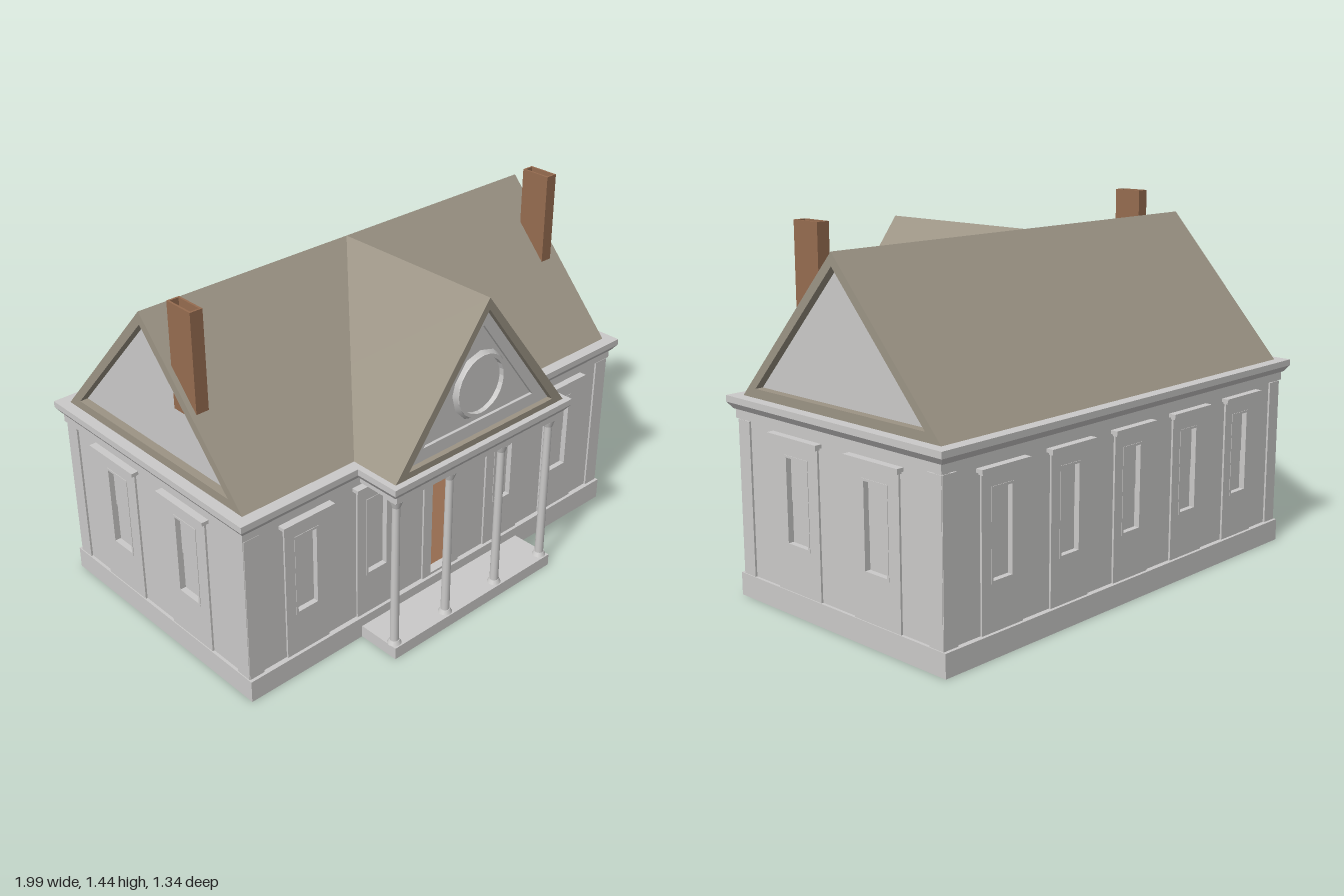
import * as THREE from 'three';

const mat = (name, color) => Object.assign(new THREE.MeshStandardMaterial({ color }), { name });

export function createModel() {
  const stone = mat('pale stone', 0xcbcac9);
  const roofing = mat('roof taupe', 0x9c9485);
  const brown = mat('brick brown', 0x966c50);

  const house = new THREE.Group();
  house.name = 'house';
  house.position.x = -0.006;
  const ZC = -0.093; // depth centre of the main block

  function add(parent, name, geo, material, x = 0, y = 0, z = 0) {
    const m = new THREE.Mesh(geo, material);
    m.name = name;
    m.position.set(x, y, z);
    parent.add(m);
    return m;
  }
  // Box given by its size, centred in x and z, standing on y
  function box(parent, name, material, w, h, d, x, y, z) {
    return add(parent, name, new THREE.BoxGeometry(w, h, d), material, x, y + h / 2, z);
  }
  function rectPath(Type, x0, x1, y0, y1) {
    const p = new Type();
    p.moveTo(x0, y0); p.lineTo(x1, y0); p.lineTo(x1, y1); p.lineTo(x0, y1); p.closePath();
    return p;
  }
  function triPath(Type, half, y0, y1) {
    const p = new Type();
    p.moveTo(-half, y0); p.lineTo(half, y0); p.lineTo(0, y1); p.closePath();
    return p;
  }
  function extrude(shape, holes, depth) {
    shape.holes.push(...holes);
    return new THREE.ExtrudeGeometry(shape, { depth, bevelEnabled: false, curveSegments: 12 });
  }
  // Cornice with a slanted underside and a flat top band
  function cornice(name, w, d, z) {
    const geo = new THREE.BoxGeometry(w, 0.025, d);
    const p = geo.attributes.position;
    for (let i = 0; i < p.count; i++) {
      if (p.getY(i) < 0) {
        p.setX(i, p.getX(i) - Math.sign(p.getX(i)) * 0.018);
        p.setZ(i, p.getZ(i) - Math.sign(p.getZ(i)) * 0.018);
      }
    }
    geo.computeVertexNormals();
    add(house, name + 'Slope', geo, stone, 0, 0.7425, z);
    box(house, name + 'Band', stone, w, 0.025, d, 0, 0.755, z);
  }

  // Wall facing local +z, with real openings, raised panels, frames, hoods and sashes
  function wall(name, width, openings, panelW, winW) {
    const g = new THREE.Group();
    g.name = name;
    house.add(g);
    const hole = (o, grow = 0) => rectPath(THREE.Path, o.x - winW / 2 - grow, o.x + winW / 2 + grow,
      (o.door ? 0.1 : 0.265) - (o.door ? 0 : grow), 0.605 + grow);
    const shell = rectPath(THREE.Shape, -width / 2, width / 2, 0.05, 0.7);
    add(g, name + 'Shell', extrude(shell, openings.map((o) => hole(o)), 0.03), stone, 0, 0, -0.03);
    for (const s of [-1, 1]) box(g, 'cornerPilaster', stone, 0.065, 0.6, 0.008, s * (width / 2 - 0.0325), 0.09, 0.004);
    for (const o of openings) {
      const panel = rectPath(THREE.Shape, o.x - panelW / 2, o.x + panelW / 2, 0.09, 0.665);
      add(g, 'windowPanel', extrude(panel, [hole(o)], 0.008), stone);
      box(g, 'hood', stone, panelW + 0.035, 0.014, 0.03, o.x, 0.665, 0.015);
      box(g, 'hoodBed', stone, panelW + 0.012, 0.01, 0.02, o.x, 0.655, 0.01);
      if (o.door) continue;
      const frame = rectPath(THREE.Shape, o.x - winW / 2, o.x + winW / 2, 0.265, 0.605);
      add(g, 'windowFrame', extrude(frame, [hole(o, -0.009)], 0.022), stone, 0, 0, -0.012);
      box(g, 'upperSash', stone, winW, 0.172, 0.008, o.x, 0.433, -0.016);
      box(g, 'lowerSash', stone, winW, 0.17, 0.006, o.x, 0.265, -0.024);
    }
    return g;
  }

  // Plinth ring and floor
  const plinth = extrude(rectPath(THREE.Shape, -0.973, 0.973, -0.556, 0.556),
    [rectPath(THREE.Path, -0.94, 0.94, -0.523, 0.523)], 0.09);
  add(house, 'plinth', plinth, stone, 0, 0, ZC).rotation.x = -Math.PI / 2;
  box(house, 'floor', brown, 1.884, 0.04, 1.05, 0, 0.045, ZC);

  // Four walls
  const bays = [-0.69, -0.346, 0, 0.346, 0.69];
  const longBays = (door) => bays.map((x) => ({ x, door: door && x === 0 }));
  wall('frontWall', 1.934, longBays(true), 0.2, 0.11).position.z = ZC + 0.535;
  const back = wall('backWall', 1.934, longBays(false), 0.2, 0.11);
  back.position.z = ZC - 0.535;
  back.rotation.y = Math.PI;
  for (const s of [-1, 1]) {
    const side = wall(s > 0 ? 'leftWall' : 'rightWall', 1.08,
      [{ x: -s * 0.205 }, { x: s * 0.217 }], 0.24, 0.13);
    side.position.set(s * 0.961, 0, ZC);
    side.rotation.y = s * Math.PI / 2;
  }

  // Entablature and cornices
  box(house, 'entablature', stone, 1.95, 0.04, 1.094, 0, 0.695, ZC);
  cornice('mainCornice', 1.994, 1.146, ZC);
  box(house, 'porticoEntablature', stone, 0.876, 0.035, 0.25, 0, 0.7, 0.52);
  cornice('porticoCornice', 0.94, 0.27, 0.535);

  // Main roof: hollow gabled shell with recessed gable walls
  const mainRoof = extrude(triPath(THREE.Shape, 0.525, 0.78, 1.355),
    [triPath(THREE.Path, 0.45, 0.815, 1.305)], 1.906);
  add(house, 'mainRoof', mainRoof, roofing, -0.953, 0, ZC).rotation.y = Math.PI / 2;
  for (const s of [-1, 1]) {
    const gable = add(house, 'gableWall', extrude(triPath(THREE.Shape, 0.46, 0.806, 1.315), [], 0.01),
      stone, s * 0.91, 0, ZC);
    gable.rotation.y = s * Math.PI / 2;
  }

  // Portico roof running back to the main ridge
  const porticoRoof = extrude(triPath(THREE.Shape, 0.445, 0.78, 1.355),
    [triPath(THREE.Path, 0.38, 0.805, 1.31)], 0.645 - ZC);
  add(house, 'porticoRoof', porticoRoof, roofing, 0, 0, ZC);

  // Pediment with triangular moulding and round window
  add(house, 'pediment', extrude(triPath(THREE.Shape, 0.39, 0.797, 1.32), [], 0.01), stone, 0, 0, 0.6);
  add(house, 'pedimentMoulding', extrude(triPath(THREE.Shape, 0.38, 0.805, 1.31),
    [triPath(THREE.Path, 0.288, 0.855, 1.24)], 0.012), stone, 0, 0, 0.61);
  const ring = new THREE.CylinderGeometry(0.122, 0.137, 0.02, 12, 1, true);
  add(house, 'roundWindowRim', ring, stone, 0, 1, 0.62).rotation.x = Math.PI / 2;
  const lip = extrude(new THREE.Shape().absarc(0, 0, 0.124, 0, Math.PI * 2),
    [new THREE.Path().absarc(0, 0, 0.11, 0, Math.PI * 2)], 0.02);
  add(house, 'roundWindowLip', lip, stone, 0, 1, 0.61);

  // Portico floor, hollow underneath
  box(house, 'porticoFloor', stone, 0.87, 0.02, 0.19, 0, 0.03, 0.55);
  box(house, 'porticoFrontEdge', stone, 0.87, 0.05, 0.015, 0, 0, 0.6375);
  for (const s of [-1, 1]) box(house, 'porticoSideEdge', stone, 0.015, 0.05, 0.19, s * 0.4275, 0, 0.55);

  // Four columns
  for (const x of [-0.41, -0.139, 0.139, 0.41]) {
    const col = new THREE.Group();
    col.name = 'column';
    col.position.set(x, 0, 0.613);
    house.add(col);
    add(col, 'columnShaft', new THREE.CylinderGeometry(0.015, 0.018, 0.64, 12), stone, 0, 0.375, 0);
    add(col, 'columnBase', new THREE.CylinderGeometry(0.02, 0.028, 0.016, 12), stone, 0, 0.058, 0);
    add(col, 'columnCapital', new THREE.CylinderGeometry(0.026, 0.016, 0.03, 12), stone, 0, 0.675, 0);
    box(col, 'columnAbacus', stone, 0.05, 0.012, 0.05, 0, 0.69, 0);
  }

  // Open-topped chimneys
  for (const [x, z] of [[-0.906, 0.115], [0.876, 0.102]]) {
    const stack = extrude(rectPath(THREE.Shape, -0.026, 0.026, -0.064, 0.064),
      [rectPath(THREE.Path, -0.018, 0.018, -0.056, 0.056)], 0.41);
    add(house, 'chimney', stack, brown, x, 1.03, z).rotation.x = -Math.PI / 2;
  }

  const model = new THREE.Group();
  model.name = 'model';
  model.add(house);
  return model;
}
